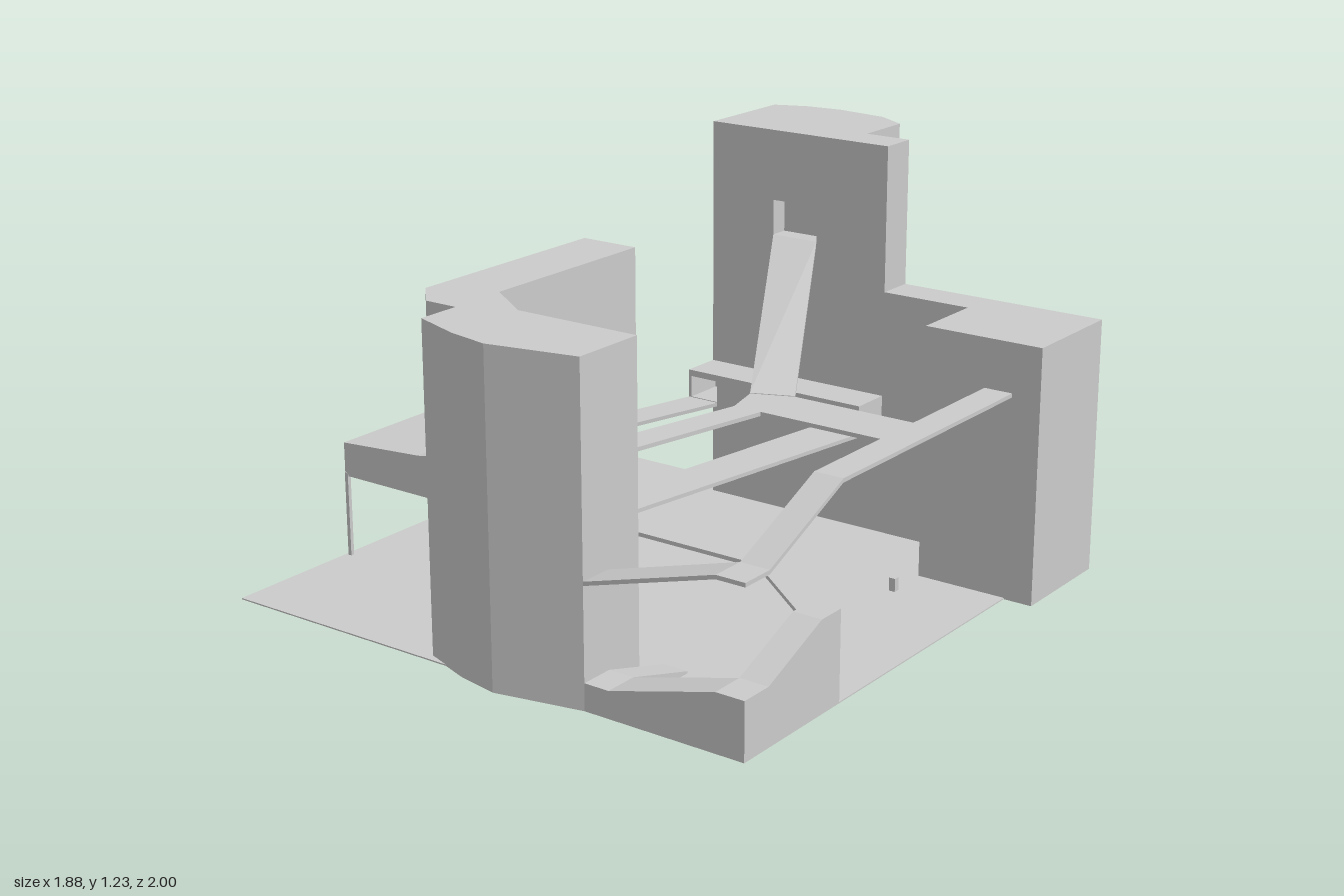
import * as THREE from 'three';

const material = new THREE.MeshStandardMaterial({ color: 0xcccccc, flatShading: true, side: THREE.DoubleSide });

// Upright prism below a polygon of [x, y, z] corners; bottomOf gives the underside height
function prism(name, corners, bottomOf) {
  let pts = corners;
  let plan = pts.map(([x, , z]) => new THREE.Vector2(x, -z));
  if (THREE.ShapeUtils.area(plan) < 0) {
    pts = [...pts].reverse();
    plan = [...plan].reverse();
  }
  const low = pts.map(([x, y, z]) => [x, bottomOf(y), z]);
  const pos = [];
  for (const [a, b, c] of THREE.ShapeUtils.triangulateShape(plan, [])) {
    pos.push(...pts[a], ...pts[b], ...pts[c], ...low[c], ...low[b], ...low[a]);
  }
  pts.forEach((p, i) => {
    const j = (i + 1) % pts.length;
    pos.push(...low[i], ...low[j], ...pts[j], ...low[i], ...pts[j], ...p);
  });
  const geo = new THREE.BufferGeometry();
  geo.setAttribute('position', new THREE.Float32BufferAttribute(pos, 3));
  geo.computeVertexNormals();
  const mesh = new THREE.Mesh(geo, material);
  mesh.name = name;
  return mesh;
}

const storey = (name, plan, y0, y1) => prism(name, plan.map(([x, z]) => [x, y1, z]), () => y0);
const slab = (name, corners, t = 0.012) => prism(name, corners, (y) => y - t);
const solid = (name, corners) => prism(name, corners, () => 0);

function box(name, x0, x1, y0, y1, z0, z1) {
  const mesh = new THREE.Mesh(new THREE.BoxGeometry(x1 - x0, y1 - y0, z1 - z0), material);
  mesh.position.set((x0 + x1) / 2, (y0 + y1) / 2, (z0 + z1) / 2);
  mesh.name = name;
  return mesh;
}

export function createModel() {
  const model = new THREE.Group();
  const add = (...meshes) => model.add(...meshes);

  add(box('ground', -0.94, 0.85, 0, 0.004, -0.72, 0.945));

  // Rear tower with a doorway recess at the top of the long ramp
  const back = [[0.27, -0.61], [0.27, -0.73], [0.12, -0.73], [0.12, -0.92], [0.02, -0.98],
    [-0.15, -1], [-0.27, -0.985], [-0.37, -0.945], [-0.37, -0.61]];
  const doorway = [[-0.14, -0.61], [-0.14, -0.67], [0.02, -0.67], [0.02, -0.61]];
  add(storey('rearTowerBase', back, 0, 0.9));
  add(storey('rearTowerDoorStorey', [...back, ...doorway], 0.9, 1.01));
  add(storey('rearTowerTop', back, 1.01, 1.23));

  // Lower block beside the rear tower
  add(storey('sideBlock', [[0.27, -0.61], [0.56, -0.61], [0.56, -0.37], [0.94, -0.37],
    [0.94, -0.73], [0.27, -0.73]], 0, 0.78));

  // Hooked front tower with a bowed front
  add(storey('frontTower', [[-0.41, -0.01], [-0.41, 0.69], [-0.32, 0.785], [-0.215, 0.785],
    [-0.215, 0.92], [-0.06, 0.975], [0.07, 1], [0.34, 0.945], [0.34, 0.71], [-0.06, 0.71],
    [-0.22, 0.6], [-0.22, -0.01]], 0, 0.97));

  // Gallery on the rear tower, open where the two bridges enter
  add(box('galleryFloor', -0.37, 0.27, 0.35, 0.362, -0.61, -0.48));
  add(box('galleryRoof', -0.37, 0.27, 0.43, 0.45, -0.61, -0.48));
  add(box('galleryFront', -0.26, 0.12, 0.362, 0.43, -0.49, -0.48));
  for (const x of [-0.37, 0.26]) add(box('galleryEnd', x, x + 0.01, 0.362, 0.43, -0.61, -0.48));

  // Raised side platform with its curved underside, on two thin legs
  const profile = new THREE.Shape([[-0.93, 0.26], [-0.6, 0.26], [-0.41, 0.12], [-0.41, 0.42],
    [-0.63, 0.385], [-0.93, 0.365]].map((p) => new THREE.Vector2(...p)));
  const platform = new THREE.Mesh(
    new THREE.ExtrudeGeometry(profile, { depth: 0.51, bevelEnabled: false }), material);
  platform.name = 'sidePlatform';
  add(platform);
  for (const z of [0, 0.5]) add(box('platformLeg', -0.93, -0.918, 0, 0.27, z, z + 0.012));

  // Bridges at middle height
  add(slab('platformBridge', [[-0.37, 0.36, -0.48], [-0.26, 0.36, -0.48], [-0.6, 0.275, 0], [-0.71, 0.275, 0]]));
  add(slab('middleBridge', [[0.12, 0.362, -0.48], [0.27, 0.362, -0.48], [0.08, 0.362, 0.71], [-0.06, 0.362, 0.71]]));

  // Long ramp down from the rear tower to the upper walkways
  add(slab('longRamp', [[-0.14, 0.9, -0.61], [0.02, 0.9, -0.61], [0.37, 0.632, 0.02], [0.25, 0.632, 0.07]]));
  add(slab('upperWalkway', [[0.25, 0.63, 0.07], [0.37, 0.63, 0.02], [0.76, 0.63, 0.02], [0.76, 0.63, -0.37],
    [0.85, 0.63, -0.37], [0.85, 0.63, 0.51], [0.76, 0.63, 0.51], [0.76, 0.63, 0.19], [0.37, 0.63, 0.19],
    [0.26, 0.63, 0.71], [0.16, 0.63, 0.71], [0.28, 0.63, 0.19]]));

  // Descending upper walkway, turning the corner to the front tower
  add(slab('upperRamp', [[0.76, 0.63, 0.51], [0.85, 0.63, 0.51], [0.85, 0.485, 0.84], [0.76, 0.485, 0.84]]));
  add(slab('upperLanding', [[0.76, 0.485, 0.84], [0.85, 0.485, 0.84], [0.85, 0.485, 0.945], [0.76, 0.485, 0.945]]));
  add(slab('upperReturnRamp', [[0.76, 0.485, 0.84], [0.76, 0.485, 0.945], [0.34, 0.365, 0.945], [0.34, 0.365, 0.84]]));

  // Low path from the front tower, running out diagonally
  add(slab('lowPath', [[-0.22, 0.27, 0.24], [0.5, 0.27, 0.24], [0.76, 0.27, 0.44],
    [0.76, 0.27, 0.585], [0.5, 0.27, 0.385], [-0.22, 0.27, 0.385]]));

  // Solid low ramp around the front corner
  add(solid('lowCorner', [[0.76, 0.27, 0.44], [0.85, 0.27, 0.51], [0.85, 0.27, 0.6], [0.76, 0.27, 0.6]]));
  add(solid('lowRamp', [[0.76, 0.27, 0.6], [0.85, 0.27, 0.6], [0.85, 0.17, 0.84], [0.76, 0.17, 0.84]]));
  add(solid('lowLanding', [[0.76, 0.17, 0.84], [0.85, 0.17, 0.84], [0.85, 0.17, 0.945], [0.76, 0.17, 0.945]]));
  add(solid('lowReturnRamp', [[0.76, 0.17, 0.84], [0.76, 0.17, 0.945], [0.42, 0.08, 0.945], [0.42, 0.08, 0.84]]));
  add(solid('lowEntry', [[0.34, 0.08, 0.84], [0.42, 0.08, 0.84], [0.42, 0.08, 0.945], [0.34, 0.08, 0.945]]));
  add(solid('entryWedge', [[0.34, 0.01, 0.6], [0.42, 0.01, 0.6], [0.42, 0.08, 0.84], [0.34, 0.08, 0.84]]));

  // Small post standing in the yard
  add(box('post', 0.55, 0.57, 0, 0.045, -0.24, -0.22));

  return model;
}
